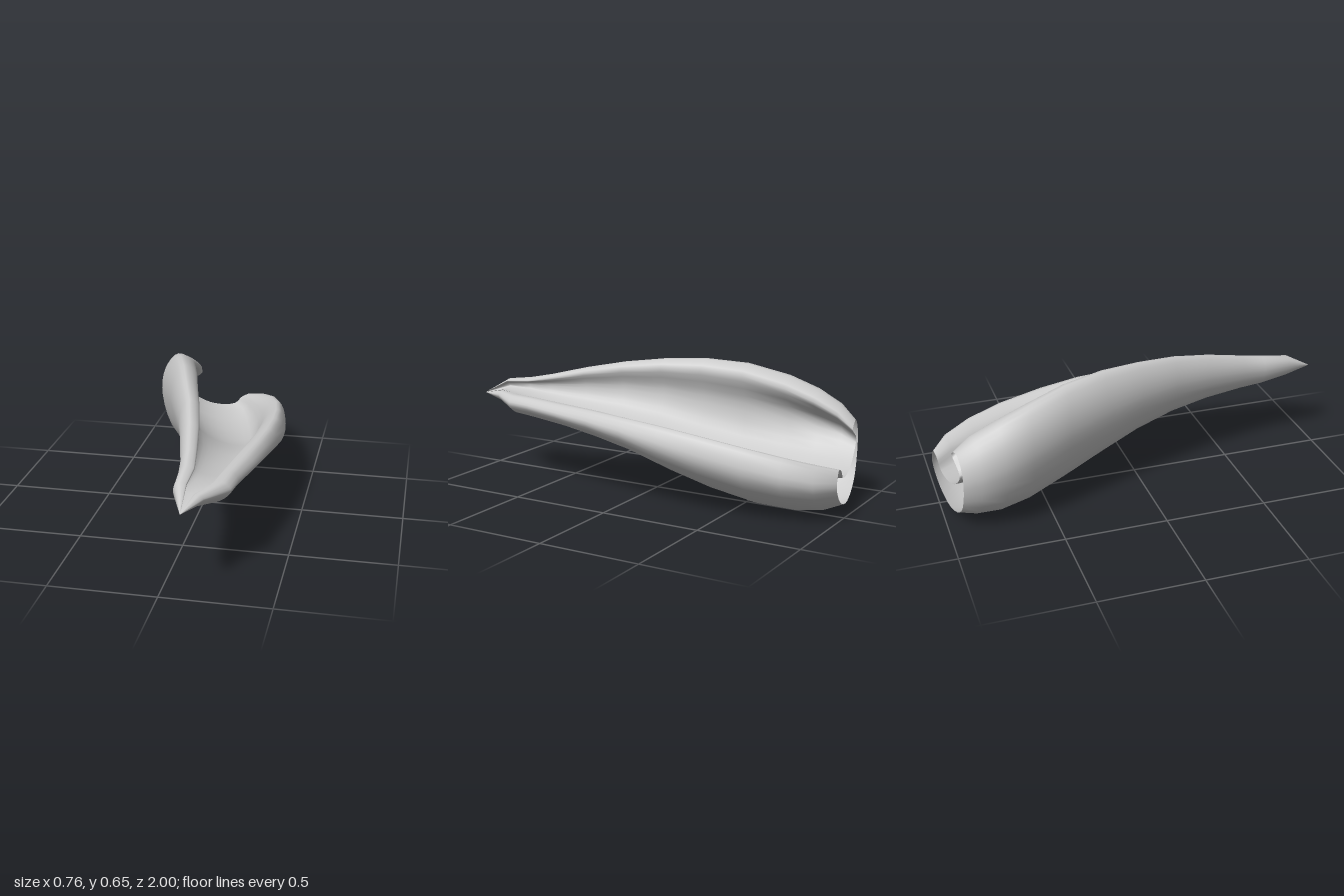
import * as THREE from 'three';

// Stations along the body, from open back end to pointed front:
// z, left x, right x, top y, bottom y, upper lip edge x, lower lip edge x, lower lip y, floor y
const STATIONS = [
  [-0.95, -0.335, 0.12, 0.405, 0.04, -0.2, 0.03, 0.245, 0.185],
  [-0.87, -0.37, 0.225, 0.475, 0.012, -0.19, 0.095, 0.275, 0.178],
  [-0.75, -0.38, 0.29, 0.535, 0, -0.185, 0.165, 0.31, 0.17],
  [-0.6, -0.352, 0.335, 0.59, 0.015, -0.17, 0.22, 0.345, 0.175],
  [-0.4, -0.283, 0.367, 0.64, 0.07, -0.125, 0.25, 0.38, 0.2],
  [-0.2, -0.213, 0.383, 0.655, 0.14, -0.075, 0.26, 0.405, 0.25],
  [0, -0.148, 0.376, 0.645, 0.215, -0.03, 0.26, 0.42, 0.31],
  [0.2, -0.08, 0.355, 0.62, 0.265, 0.02, 0.245, 0.43, 0.355],
  [0.4, -0.03, 0.325, 0.58, 0.3, 0.06, 0.22, 0.432, 0.385],
  [0.6, 0.015, 0.285, 0.53, 0.32, 0.09, 0.2, 0.435, 0.415],
  [0.72, 0.03, 0.27, 0.505, 0.33, 0.105, 0.19, 0.435, 0.435],
  [0.86, 0.04, 0.175, 0.485, 0.37, 0.1, 0.13, 0.43, 0.435],
  [1, 0.1, 0.102, 0.402, 0.4, 0.101, 0.101, 0.401, 0.401],
];
const SIDES = 56;

// C-shaped cross-section: outer skin down and around, then back along the trough
function section([z, xL, xR, yT, yB, lx, rx, ry, fy]) {
  const w = xR - xL, h = yT - yB, r = ry - yB, lip = lx - xL;
  // The trough wall closes onto the outer skin towards the back
  const wall = THREE.MathUtils.mapLinear(Math.min(z, -0.4), -0.95, -0.4, 0.3, 0.7);
  const points = [
    [xL + 0.5 * lip, yT],
    [xL + 0.1 * lip, yB + 0.85 * h],
    [xL, yB + 0.58 * h],
    [xL + 0.12 * w, yB + 0.19 * h],
    [xL + 0.45 * w, yB],
    [xL + 0.8 * w, yB + 0.2 * r],
    [xL + 0.985 * w, yB + 0.65 * r],
    [rx * 0.4 + xR * 0.6, ry],
    [rx, ry - 0.25 * (ry - fy)],
    [xL + 0.7 * w, fy + 0.03 * (ry - fy)],
    [xL + 0.45 * w, fy],
    [xL + 0.23 * w, fy + 0.2 * (yT - fy)],
    [xL + wall * lip, fy + 0.55 * (yT - fy)],
    [lx, yT - 0.09 * h],
  ].map(([x, y]) => new THREE.Vector3(x, y, z));
  const curve = new THREE.CatmullRomCurve3(points, true, 'centripetal');
  // The back end is cut at a slant
  const slant = 0.17 * THREE.MathUtils.clamp((-0.5 - z) / 0.45, 0, 1);
  return Array.from({ length: SIDES }, (_, j) => {
    const p = curve.getPoint(j / SIDES);
    p.z -= slant * (p.x + 0.2);
    return p;
  });
}

export function createModel() {
  const group = new THREE.Group();
  group.name = 'curvedTrough';
  const rings = STATIONS.map(section);

  // Smooth hollow skin lofted through the sections, open at the back
  const index = [];
  for (let i = 0; i < rings.length - 1; i++) {
    for (let j = 0; j < SIDES; j++) {
      const k = (j + 1) % SIDES;
      const a = i * SIDES + j, b = i * SIDES + k;
      index.push(a, b, b + SIDES, a, b + SIDES, a + SIDES);
    }
  }
  const geometry = new THREE.BufferGeometry().setFromPoints(rings.flat());
  geometry.setIndex(index);
  geometry.computeVertexNormals();
  const material = new THREE.MeshStandardMaterial({ color: 0xcccccc, side: THREE.DoubleSide });
  const body = new THREE.Mesh(geometry, material);
  body.name = 'troughBody';
  group.add(body);

  return group;
}
